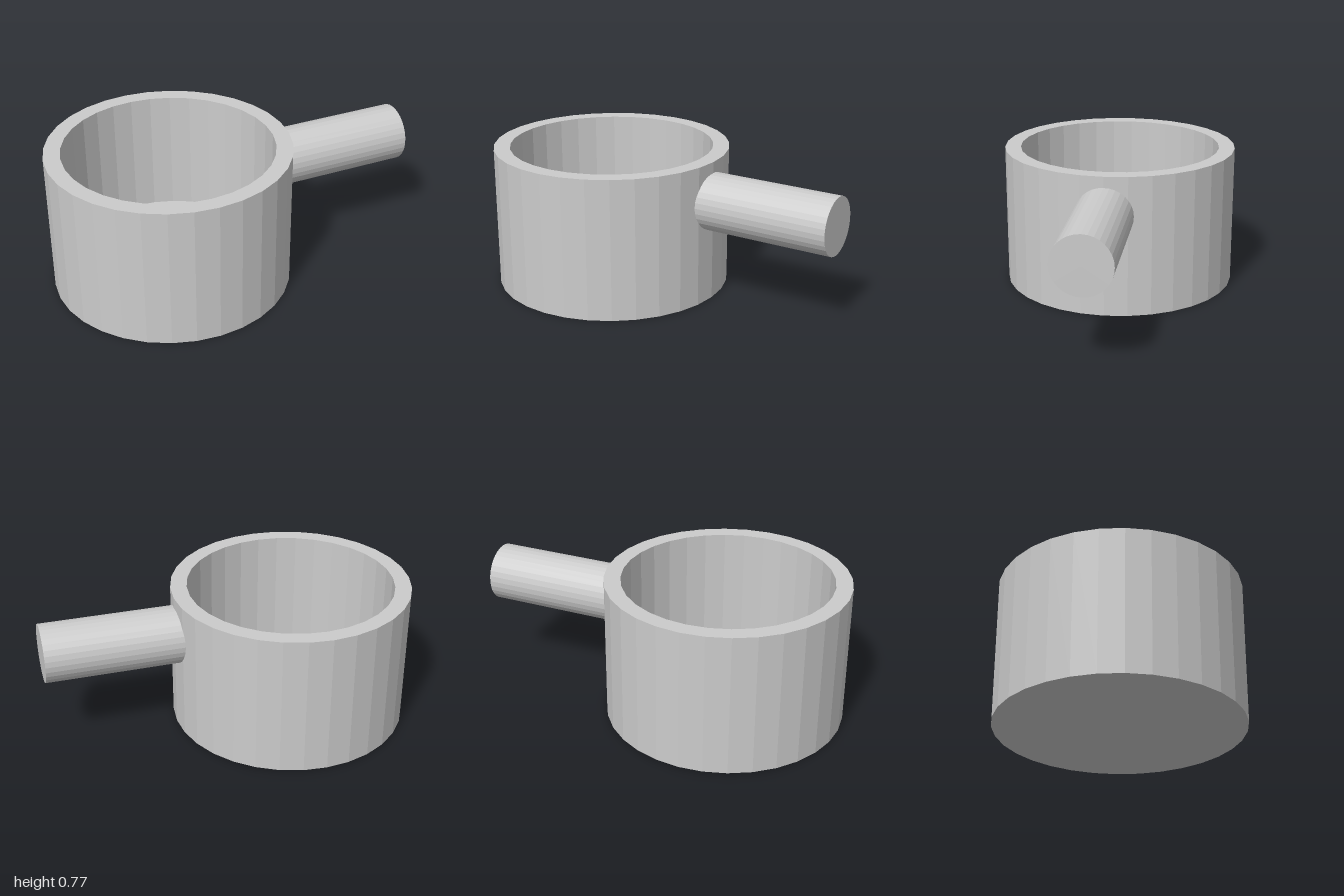
import * as THREE from 'three';

const SIDES = 32;

export function createModel() {
  const group = new THREE.Group();
  const material = new THREE.MeshStandardMaterial({ color: 0xcccccc, flatShading: true });

  // Hollow cup: closed base, thick wall, flat rim and inner floor
  const radius = 0.645, innerRadius = 0.557, height = 0.77, floorY = 0.09;
  const profile = [
    [0, 0], [radius, 0], [radius, height],
    [innerRadius, height], [innerRadius, floorY], [0, floorY],
  ].map(([x, y]) => new THREE.Vector2(x, y));
  const cup = new THREE.Mesh(new THREE.LatheGeometry(profile, SIDES), material);
  cup.name = 'cup';
  cup.position.x = radius - 1;
  group.add(cup);

  // Straight round handle, its inner end buried in the wall
  const handleStart = 0.22, handleEnd = 1;
  const handle = new THREE.Mesh(
    new THREE.CylinderGeometry(0.155, 0.155, handleEnd - handleStart, SIDES), material);
  handle.name = 'handle';
  handle.rotation.z = -Math.PI / 2;
  handle.position.set((handleStart + handleEnd) / 2, 0.555, 0);
  group.add(handle);

  return group;
}
